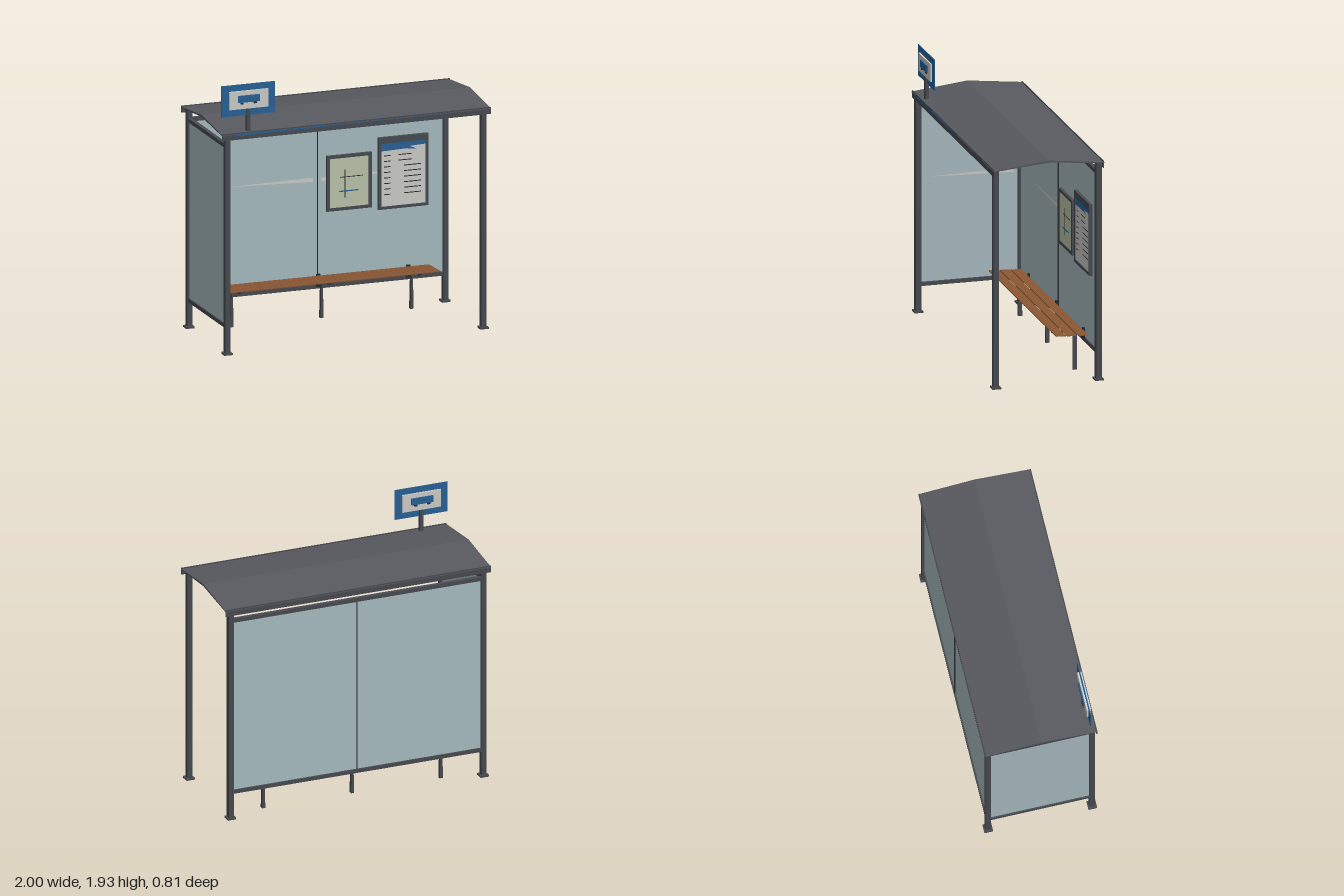
import * as THREE from 'three';

const mat = (color, side = THREE.FrontSide) =>
  new THREE.MeshStandardMaterial({ color, side, flatShading: true });

export function createModel() {
  const root = new THREE.Group();
  const steel = mat(0x4a4d53), dark = mat(0x2a2c30), roofMat = mat(0x585a60);
  const glass = mat(0xaec3c8, THREE.DoubleSide);
  const blue = mat(0x2a659c, THREE.DoubleSide), white = mat(0xd4d3cf, THREE.DoubleSide);
  const cream = mat(0xc2cbb0), wood = mat(0x8a5733);

  const add = (name, geo, m, parent = root) => {
    const mesh = new THREE.Mesh(geo, m);
    mesh.name = name;
    parent.add(mesh);
    return mesh;
  };
  // Box given by its minimum and maximum on each axis
  const box = (name, m, x0, x1, y0, y1, z0, z1, parent = root) => {
    const b = add(name, new THREE.BoxGeometry(x1 - x0, y1 - y0, z1 - z0), m, parent);
    b.position.set((x0 + x1) / 2, (y0 + y1) / 2, (z0 + z1) / 2);
    return b;
  };
  const flat = (pts) => new THREE.ShapeGeometry(new THREE.Shape(pts.map(p => new THREE.Vector2(...p))));
  const group = (name) => {
    const g = new THREE.Group();
    g.name = name;
    root.add(g);
    return g;
  };

  // Corner posts on foot plates
  for (const x of [-0.953, 0.953]) for (const z of [-0.372, 0.372]) {
    box('post', steel, x - 0.019, x + 0.019, 0, 1.58, z - 0.02, z + 0.02);
    box('footPlate', steel, x - 0.031, x + 0.031, 0, 0.014, z - 0.031, z + 0.031);
  }

  // Back wall and the single side wall: glass between two rails
  box('backGlass', glass, -0.935, 0.935, 0.21, 1.5, -0.376, -0.37);
  box('sideGlass', glass, -0.957, -0.951, 0.21, 1.5, -0.353, 0.353);
  for (const y of [0.19, 1.49]) {
    box('backRail', steel, -0.935, 0.935, y, y + 0.028, -0.387, -0.359);
    box('sideRail', steel, -0.967, -0.939, y, y + 0.028, -0.353, 0.353);
  }
  box('glassJoint', dark, -0.002, 0.002, 0.218, 1.49, -0.385, -0.36);

  // Tapering safety stripes on the glass
  for (const pts of [
    [[-0.68, 0.985], [-0.03, 0.962], [-0.03, 0.992]],
    [[0.03, 0.96], [0.46, 0.975], [0.46, 0.99], [0.03, 0.985]],
  ]) add('backStripe', flat(pts), white).position.z = -0.367;
  const sideStripe = add('sideStripe', flat([[-0.31, 0.978], [0.32, 0.96], [0.32, 0.993]]), white);
  sideStripe.rotation.y = Math.PI / 2;
  sideStripe.position.x = -0.948;

  // Roof: shallow ridge running along x, with thin eaves
  const roofShape = new THREE.Shape([
    [-0.402, 1.586], [0, 1.622], [0.402, 1.586], [0.402, 1.592], [0, 1.637], [-0.402, 1.592],
  ].map(p => new THREE.Vector2(...p)));
  const roofGeo = new THREE.ExtrudeGeometry(roofShape, { depth: 2, bevelEnabled: false });
  roofGeo.translate(0, 0, -1).rotateY(Math.PI / 2);
  add('roof', roofGeo, roofMat);
  box('frontFascia', steel, -1, 1, 1.55, 1.6, 0.394, 0.4);
  box('backFascia', steel, -1, 1, 1.55, 1.6, -0.4, -0.394);
  add('fasciaStripe', flat([[-0.9, 1.577], [-0.2, 1.583], [0.77, 1.585], [-0.2, 1.59], [-0.9, 1.594]]), blue)
    .position.z = 0.402;

  // Bench: three slats on brackets with tapered legs
  const slats = group('benchSlats');
  for (let i = 0; i < 3; i++) {
    const z0 = -0.338 + i * 0.08;
    box('slat', wood, -0.82, 0.82, -0.003, 0.003, -0.0365, 0.0365, slats)
      .position.set(0, 0.288 + i * 0.004, z0 + 0.0365);
    slats.children[i].rotation.x = -0.05;
  }
  const legGeo = new THREE.BoxGeometry(0.024, 0.28, 0.028);
  const lp = legGeo.attributes.position;
  for (let i = 0; i < lp.count; i++) if (lp.getY(i) > 0) lp.setX(i, lp.getX(i) * 0.4);
  legGeo.computeVertexNormals();
  for (const x of [-0.67, 0, 0.67]) {
    add('benchLeg', legGeo, steel).position.set(x, 0.14, -0.285);
    box('benchBracket', dark, x - 0.014, x + 0.014, 0.205, 0.298, -0.356, -0.344);
    const arm = box('benchArm', dark, x - 0.012, x + 0.012, 0.277, 0.284, -0.345, -0.115);
    arm.rotation.x = -0.05;
  }

  // Framed boards on the back wall: backing sheet with four frame bars
  const board = (name, paper, x0, x1, y0, y1, t, top) => {
    const g = group(name);
    box('sheet', paper, x0 + t, x1 - t, y0 + t, y1 - top, -0.366, -0.352, g);
    box('frameLeft', steel, x0, x0 + t, y0, y1, -0.368, -0.346, g);
    box('frameRight', steel, x1 - t, x1, y0, y1, -0.368, -0.346, g);
    box('frameBottom', steel, x0 + t, x1 - t, y0, y0 + t, -0.368, -0.346, g);
    box('frameTop', steel, x0 + t, x1 - t, y1 - top, y1, -0.368, -0.346, g);
    return g;
  };
  const map = board('mapBoard', cream, 0.065, 0.4, 0.74, 1.14, 0.022, 0.022);
  box('mapLine', dark, 0.197, 0.204, 0.83, 1.03, -0.353, -0.35, map);
  box('mapLine', dark, 0.165, 0.335, 0.976, 0.981, -0.353, -0.35, map);
  box('mapRoute', blue, 0.155, 0.3, 0.873, 0.881, -0.353, -0.35, map);

  const table = board('timetableBoard', white, 0.45, 0.82, 0.715, 1.235, 0.02, 0.045);
  add('tableHeader', flat([[0.47, 1.135], [0.66, 1.14], [0.74, 1.13], [0.68, 1.155], [0.8, 1.16], [0.8, 1.19], [0.47, 1.19]]),
    blue, table).position.z = -0.35;
  for (let i = 0; i < 8; i++) {
    const y = 1.1 - i * 0.04;
    box('timeMark', dark, 0.492, 0.54, y - 0.003, y + 0.003, -0.353, -0.35, table);
    box('timeLine', dark, i < 2 ? 0.6 : 0.64, i < 2 ? 0.7 : 0.765, y - 0.003, y + 0.003, -0.353, -0.35, table);
  }

  // Stop sign above the roof, same picture on both faces
  const sign = group('stopSign');
  sign.position.set(-0.79, 0, 0.356);
  box('signPole', steel, -0.014, 0.014, 1.585, 1.77, -0.014, 0.014, sign);
  box('signBoard', blue, -0.2, 0.2, 1.71, 1.935, -0.003, 0.003, sign);
  box('signPanel', white, -0.145, 0.145, 1.76, 1.89, -0.0155, 0.0155, sign);
  box('busBody', blue, -0.083, 0.08, 1.808, 1.858, -0.024, 0.024, sign);
  for (const x of [-0.052, 0.047])
    box('busWheel', dark, x - 0.011, x + 0.011, 1.795, 1.81, -0.022, 0.022, sign);

  return root;
}
